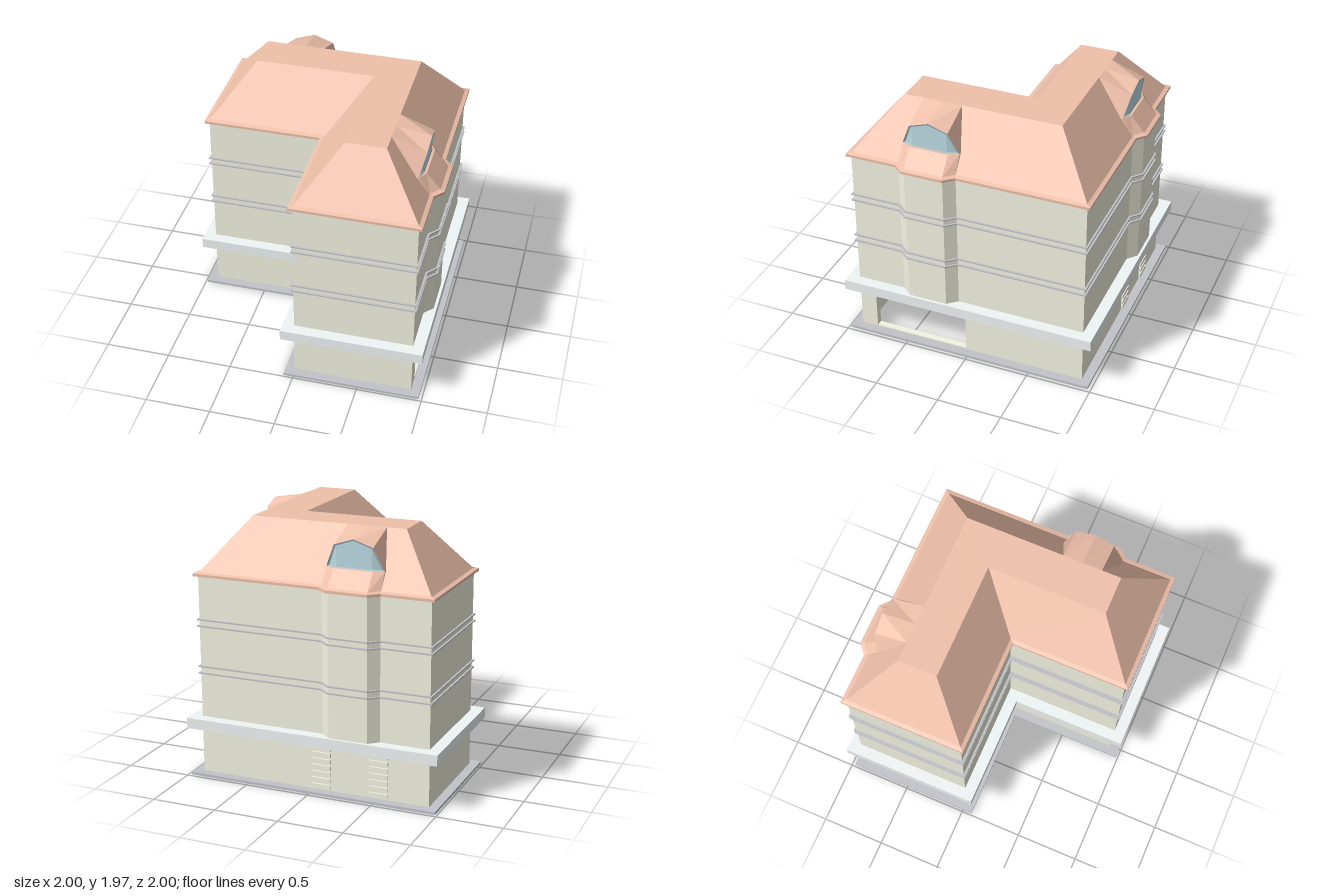
import * as THREE from 'three';

const mat = (color, side = THREE.FrontSide) =>
  new THREE.MeshStandardMaterial({ color, side, flatShading: true });
const wallMat = mat(0xf4f4e3), roofMat = mat(0xefc1ab, THREE.DoubleSide);
const ledgeMat = mat(0xf0f5f5), trimMat = mat(0xc2c4c9);
const glassMat = mat(0xc4e4ee, THREE.DoubleSide), frameMat = mat(0xa9bec4, THREE.DoubleSide);

// Footprints as counter-clockwise [x, -z] points
const W = 0.91, INSET = 0.305, BAY = 0.305;
const plan = [[-W, 0], [0, 0], [0, -W], [W, -W], [W, W], [-W, W]];
const bayPlan = [
  [-W, 0], [0, 0], [0, -W], [W, -W],
  [W, -BAY - 0.225], [0.975, -BAY - 0.15], [0.975, -BAY + 0.15], [W, -BAY + 0.225],
  [W, W],
  [-BAY + 0.225, W], [-BAY + 0.15, 0.975], [-BAY - 0.15, 0.975], [-BAY - 0.225, W],
  [-W, W],
];

// Mitred offset of a footprint, positive is outward
function offset(poly, d) {
  const n = poly.length;
  const normal = (a, b) => {
    const dx = b[0] - a[0], dy = b[1] - a[1], l = Math.hypot(dx, dy);
    return [dy / l, -dx / l];
  };
  return poly.map((p, i) => {
    const a = normal(poly[(i + n - 1) % n], p), b = normal(p, poly[(i + 1) % n]);
    const k = d / (1 + a[0] * b[0] + a[1] * b[1]);
    return [p[0] + (a[0] + b[0]) * k, p[1] + (a[1] + b[1]) * k];
  });
}

const toVectors = (poly) => poly.map(([x, y]) => new THREE.Vector2(x, y));

function named(name, geometry, material) {
  const m = new THREE.Mesh(geometry, material);
  m.name = name;
  return m;
}

// Vertical extrusion of a footprint, optionally hollow
function slab(name, material, outer, y0, y1, inner) {
  const shape = new THREE.Shape(toVectors(outer));
  if (inner) shape.holes.push(new THREE.Path(toVectors(inner)));
  const g = new THREE.ExtrudeGeometry(shape, { depth: y1 - y0, bevelEnabled: false });
  g.rotateX(-Math.PI / 2).translate(0, y0, 0);
  return named(name, g, material);
}

// Flat polygons, each split into a fan
function facets(name, material, faces) {
  const pos = [];
  for (const f of faces)
    for (let i = 1; i < f.length - 1; i++) pos.push(...f[0], ...f[i], ...f[i + 1]);
  const g = new THREE.BufferGeometry();
  g.setAttribute('position', new THREE.Float32BufferAttribute(pos, 3));
  g.computeVertexNormals();
  return named(name, g, material);
}

// Sloping skirt between two matching footprints
function loft(name, material, a, ya, b, yb) {
  return facets(name, material, a.map((p, i) => {
    const j = (i + 1) % a.length;
    return [[p[0], ya, -p[1]], [a[j][0], ya, -a[j][1]], [b[j][0], yb, -b[j][1]], [b[i][0], yb, -b[i][1]]];
  }));
}

// Dormer over a bay, facing +x and centred on z = 0
function dormer() {
  const group = new THREE.Group();
  group.name = 'dormer';
  const peak = [0.867, 1.92, 0], ridge = [0.605, 1.965, 0];
  const top = (s) => [0.605, 1.965, s * 0.15];
  const shoulder = (s) => [0.863, 1.87, s * 0.15];
  const foot = (s) => [0.825, 1.7, s * 0.224];
  const back = (s) => [0.806, 1.7, s * 0.224];
  const sill = (s) => [0.868, 1.7, s * 0.15];
  const pane = (s) => [0.85, 1.7, s * 0.15];
  const faces = [
    [[0.975, 1.575, 0.15], [0.975, 1.575, -0.15], sill(-1), sill(1)],
    [sill(-1), foot(-1), back(-1), back(1), foot(1), sill(1)],
  ];
  for (const s of [1, -1]) {
    const corner = [W, 1.575, s * 0.225];
    const side = [
      [ridge, top(s), shoulder(s), peak],
      [top(s), foot(s), shoulder(s)],
      [top(s), back(s), foot(s)],
      [corner, foot(s), back(s), [0.9, 1.57, s * 0.225]],
      [sill(s), foot(s), corner, [0.975, 1.575, s * 0.15]],
    ];
    faces.push(...side.map((f) => (s > 0 ? f : f.reverse())));
  }
  group.add(facets('dormerRoof', roofMat, faces));

  // Three-sided window with a thin frame
  const rim = [foot(1), pane(1), pane(-1), foot(-1), shoulder(-1), peak, shoulder(1)];
  const inner = rim.map(([x, y, z]) => [x - 0.004, 1.79 + (y - 1.79) * 0.91, z * 0.91]);
  const frame = rim.map((p, i) => {
    const j = (i + 1) % rim.length;
    return [p, rim[j], inner[j], inner[i]];
  });
  const panes = [[1, 2, 4, 5, 6], [0, 1, 6], [2, 3, 4]].map((f) => f.map((i) => inner[i]));
  group.add(facets('windowFrame', frameMat, frame), facets('windowGlass', glassMat, panes));
  return group;
}

// Slatted ground-floor vent
function vent(x) {
  const group = new THREE.Group();
  group.name = 'vent';
  for (let i = 0; i < 7; i++) {
    const slat = named('slat', new THREE.BoxGeometry(0.15, 0.033, 0.016), wallMat);
    slat.position.set(x, 0.05 + i * 0.05, -W - 0.006);
    group.add(slat);
  }
  return group;
}

export function createModel() {
  const model = new THREE.Group();
  model.name = 'building';

  // Plinth
  model.add(slab('plinth', trimMat, offset(plan, 0.07), 0, 0.02, plan));

  // Ground-floor walls with a wide opening on the left side
  const t = 0.05, doorA = -0.78, doorB = -0.03;
  const inside = offset(plan, -t);
  const loop = (p) => [p[4], p[5], p[0], p[1], p[2], p[3]];
  model.add(slab('groundWalls', wallMat, [
    [W, doorB], ...loop(plan), [W, doorA],
    [W - t, doorA], ...loop(inside).reverse(), [W - t, doorB],
  ], 0.01, 0.38));
  for (const [name, y] of [['doorSill', 0.02], ['doorLintel', 0.38]]) {
    const bar = named(name, new THREE.BoxGeometry(t, 0.02, doorB - doorA), wallMat);
    bar.position.set(W - t / 2, y, -(doorA + doorB) / 2);
    model.add(bar);
  }
  model.add(vent(-0.07), vent(-0.52));

  // Ledge, upper walls and string courses
  model.add(slab('ledge', ledgeMat, offset(plan, 0.087), 0.378, 0.46, offset(plan, -0.09)));
  model.add(slab('upperWalls', wallMat, bayPlan, 0.38, 1.55, offset(plan, -0.092)));
  for (const y of [0.798, 0.85, 1.162, 1.212])
    model.add(slab('stringCourse', trimMat, offset(bayPlan, 0.015), y, y + 0.01, offset(bayPlan, -0.01)));

  // Eaves and hipped roof with a flat top
  const eave = offset(bayPlan, 0.03), crown = offset(plan, -INSET);
  model.add(slab('eaves', roofMat, eave, 1.55, 1.57));
  model.add(loft('eavesLip', roofMat, eave, 1.57, bayPlan, 1.58));
  model.add(loft('roofSlopes', roofMat, plan, 1.57, crown, 1.965));
  const cap = new THREE.ShapeGeometry(new THREE.Shape(toVectors(crown)));
  cap.rotateX(-Math.PI / 2).translate(0, 1.965, 0);
  model.add(named('roofTop', cap, roofMat));

  // One dormer on the side, one on the back
  const sideDormer = dormer(), backDormer = dormer();
  sideDormer.position.z = BAY;
  backDormer.rotation.y = Math.PI / 2;
  backDormer.position.x = -BAY;
  model.add(sideDormer, backDormer);

  for (const part of model.children) {
    part.position.x -= 0.005;
    part.position.z += 0.005;
  }
  return model;
}
